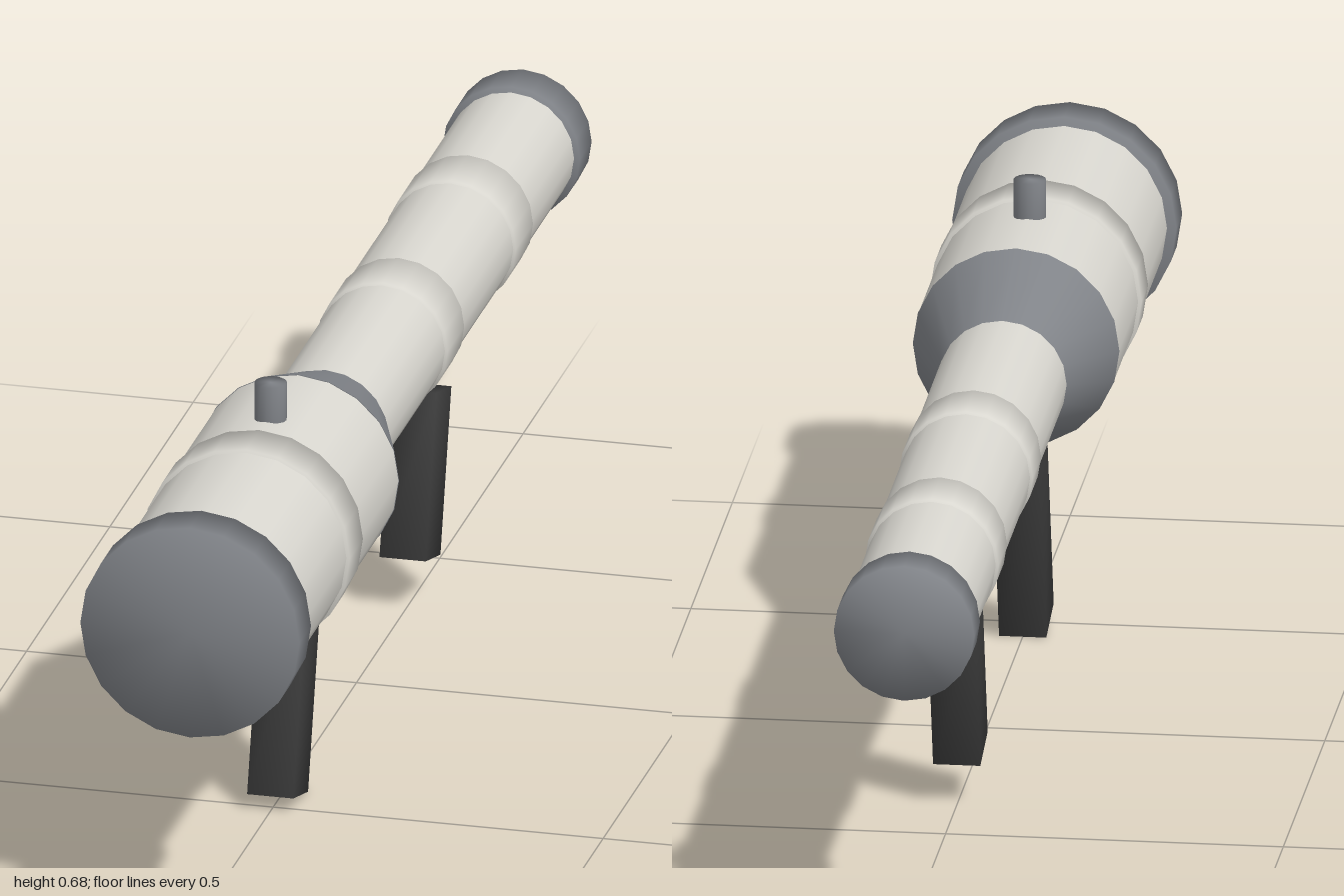
import * as THREE from 'three';
import { mergeVertices } from 'three/addons/utils/BufferGeometryUtils.js';

const AXIS_Y = 0.474; // height of the barrel axis
const SIDES = 20;

// Weld corners so that normals blend softly over the edges
function soften(geometry) {
  geometry.deleteAttribute('uv');
  geometry.deleteAttribute('normal');
  const welded = mergeVertices(geometry, 1e-4);
  welded.computeVertexNormals();
  return welded;
}

export function createModel() {
  const model = new THREE.Group();
  const paint = (name, color) => {
    const m = new THREE.MeshStandardMaterial({ color });
    m.name = name;
    return m;
  };
  const pale = paint('paleGrey', 0xd9d7d0);
  const steel = paint('steelGrey', 0x808388);
  const dark = paint('darkGrip', 0x3c3c3c);

  const add = (name, geometry, material, x, y, z) => {
    const mesh = new THREE.Mesh(geometry, material);
    mesh.name = name;
    mesh.position.set(x, y, z);
    model.add(mesh);
    return mesh;
  };

  // Round section lying along z, from zBack to zFront
  const section = (name, zBack, zFront, rBack, rFront, material, soft, y = AXIS_Y) => {
    let g = new THREE.CylinderGeometry(rFront, rBack, zFront - zBack, SIDES);
    g.rotateX(Math.PI / 2);
    if (soft) g = soften(g);
    return add(name, g, material, 0, y, (zBack + zFront) / 2);
  };

  // Barrel: wide front tube, taper, slim rear tube
  section('frontTube', 0.35, 0.95, 0.152, 0.152, pale, false);
  section('taper', 0.185, 0.35, 0.095, 0.153, steel, false);
  section('rearTube', -0.95, 0.19, 0.095, 0.095, pale, false);

  // End caps
  section('frontCap', 0.93, 1, 0.166, 0.166, steel, true);
  section('rearCap', -1, -0.93, 0.104, 0.104, steel, true);

  // Reinforcing bands
  section('frontBand', 0.583, 0.662, 0.157, 0.157, pale, true);
  section('middleBand', -0.255, -0.155, 0.099, 0.099, pale, true);
  section('rearBand', -0.668, -0.565, 0.099, 0.099, pale, true);

  // Rail under the rear tube
  section('rail', -0.345, 0.37, 0.0185, 0.0185, steel, false, 0.342);

  // Sight knob on top
  add('sightKnob', soften(new THREE.CylinderGeometry(0.024, 0.024, 0.09, 16)), steel, 0, 0.635, 0.515);

  // Slanted grips
  const grip = (name, length, y, z) => {
    const mesh = add(name, soften(new THREE.BoxGeometry(0.07, length, 0.092)), dark, 0, y, z);
    mesh.rotation.x = -0.265;
  };
  grip('frontGrip', 0.316, 0.1645, 0.432);
  grip('rearGrip', 0.25, 0.195, -0.354);

  return model;
}
